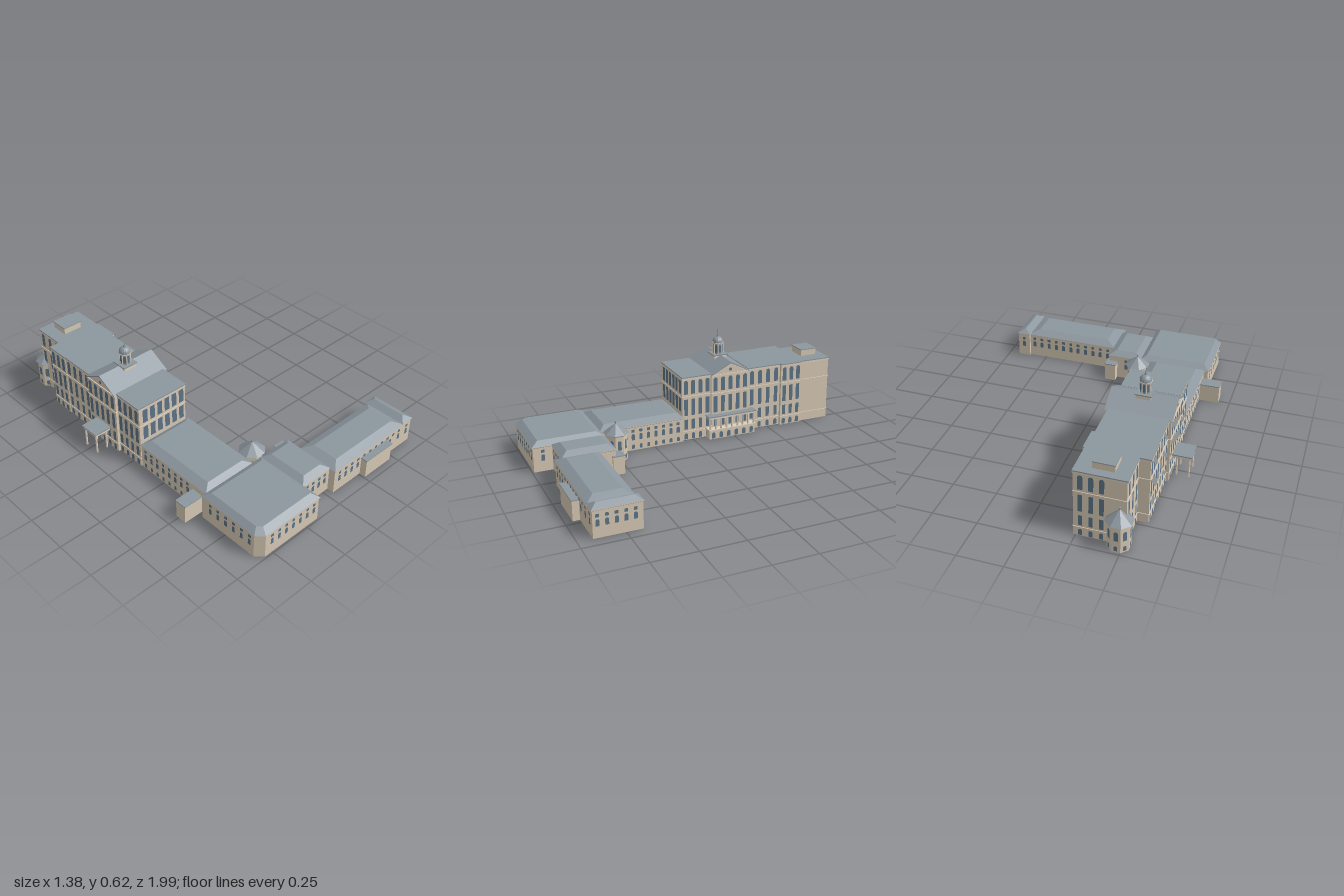
import * as THREE from 'three';
import { mergeGeometries } from 'three/addons/utils/BufferGeometryUtils.js';

const mat = (color, side = THREE.FrontSide) => new THREE.MeshStandardMaterial({ color, side, flatShading: true });

export function createModel() {
  const model = new THREE.Group();
  const stone = mat(0xd6c8b4, THREE.DoubleSide);
  const trim = mat(0xdccfbd);
  const slate = mat(0x8c969e, THREE.DoubleSide);
  const glass = mat(0x5b7388, THREE.DoubleSide);

  const add = (name, geo, material, parent = model) => {
    const mesh = new THREE.Mesh(geo, material);
    mesh.name = name;
    parent.add(mesh);
    return mesh;
  };
  const group = (name) => {
    const g = new THREE.Group();
    g.name = name;
    model.add(g);
    return g;
  };
  const slab = (name, material, x0, x1, y0, y1, z0, z1, parent) =>
    add(name, new THREE.BoxGeometry(x1 - x0, y1 - y0, z1 - z0)
      .translate((x0 + x1) / 2, (y0 + y1) / 2, (z0 + z1) / 2), material, parent);
  const spread = (a, b, n) => Array.from({ length: n }, (_, i) => (n > 1 ? a + (b - a) * i / (n - 1) : (a + b) / 2));

  // footprint ring, grown by d; cut chamfers the front left-hand corner
  const ring = ([x0, x1, z0, z1], y, d = 0, cut = 0, dz = d) => {
    const pts = [[x1 + d, y, z1 + dz], [x1 + d, y, z0 - dz], [x0 - d, y, z0 - dz]];
    return cut
      ? [...pts, [x0 - d, y, z1 + dz - cut], [x0 - d + cut, y, z1 + dz]]
      : [...pts, [x0 - d, y, z1 + dz]];
  };
  // faces between successive rings, with the last ring capped on request
  const loft = (rings, cap) => {
    const pos = [];
    const tri = (...p) => p.forEach((v) => pos.push(...v));
    for (let r = 0; r + 1 < rings.length; r++) {
      const lo = rings[r], hi = rings[r + 1];
      lo.forEach((a, i) => {
        const j = (i + 1) % lo.length;
        tri(a, lo[j], hi[j]);
        tri(a, hi[j], hi[i]);
      });
    }
    const top = rings[rings.length - 1];
    if (cap) for (let i = 1; i + 1 < top.length; i++) tri(top[0], top[i], top[i + 1]);
    const g = new THREE.BufferGeometry();
    g.setAttribute('position', new THREE.Float32BufferAttribute(pos, 3));
    g.computeVertexNormals();
    return g;
  };

  // one window pane, standing on y0 and facing +z
  const pane = (w, y0, y1, arched) => {
    const s = new THREE.Shape();
    const r = w / 2;
    s.moveTo(-r, y0).lineTo(r, y0);
    if (arched) s.lineTo(r, y1 - r).absarc(0, y1 - r, r, 0, Math.PI, false);
    else s.lineTo(r, y1).lineTo(-r, y1);
    return new THREE.ShapeGeometry(s, 5);
  };
  // rows are [width, bottom, top, arched]; side is '+x', '-x', '+z' or '-z'
  const windows = (parent, side, plane, centres, rows) => {
    const angle = { '+x': Math.PI / 2, '-x': -Math.PI / 2, '+z': 0, '-z': Math.PI }[side];
    const p = plane + (side[0] === '+' ? 0.002 : -0.002);
    const panes = centres.flatMap((c) => rows.map((r) => {
      const g = pane(...r).rotateY(angle);
      return side[1] === 'x' ? g.translate(p, 0, c) : g.translate(c, 0, p);
    }));
    add('windows', mergeGeometries(panes), glass, parent);
  };

  // low wings with hipped roofs
  const lowWing = (name, area, eave, ridge, insetX, insetZ, cut = 0) => {
    const g = group(name);
    add('walls', loft([ring(area, 0, 0, cut), ring(area, eave, 0, cut)]), stone, g);
    add('cornice', loft([ring(area, eave - 0.008, 0, cut), ring(area, eave - 0.004, 0.005, cut),
      ring(area, eave, 0.005, cut)]), stone, g);
    add('hippedRoof', loft([ring(area, eave, 0.005, cut),
      ring(area, ridge, -insetX, cut && cut * 0.6, -insetZ)], true), slate, g);
    return g;
  };
  const upper = [0.019, 0.112, 0.13];
  const arch = [0.02, 0.064, 0.102, true];
  const cellar = [0.018, 0.01, 0.037, true];
  const low = [upper, arch];

  const pavilion = lowWing('cornerPavilion', [-0.59, -0.165, 0.58, 0.99], 0.15, 0.175, 0.03, 0.035, 0.04);
  windows(pavilion, '+z', 0.99, spread(-0.505, -0.2, 7), low);
  windows(pavilion, '-x', -0.59, spread(0.64, 0.92, 6), low);
  windows(pavilion, '+x', -0.165, [0.935], low);

  const link = lowWing('linkBlock', [-0.165, 0.04, 0.58, 0.88], 0.15, 0.175, 0.04, 0.035);
  windows(link, '+z', 0.88, spread(-0.13, 0.005, 4), low);
  windows(link, '-z', 0.58, [-0.07], low);

  const wing = lowWing('eastWing', [0.04, 0.61, 0.675, 0.92], 0.15, 0.175, 0.055, 0.045);
  windows(wing, '+z', 0.92, spread(0.08, 0.58, 11), [upper]);
  windows(wing, '+z', 0.92, [...spread(0.08, 0.23, 4), ...spread(0.505, 0.58, 2)], [arch]);
  windows(wing, '-z', 0.675, spread(0.08, 0.58, 11), low);

  const end = lowWing('endBlock', [0.61, 0.685, 0.66, 0.92], 0.155, 0.177, 0.034, 0.03);
  windows(end, '+z', 0.92, [0.648], low);
  windows(end, '-z', 0.66, [0.648], low);
  windows(end, '+x', 0.685, spread(0.7, 0.895, 5), low);

  const middle = lowWing('middleWing', [-0.565, -0.23, 0.065, 0.58], 0.15, 0.175, 0.045, 0.035);
  windows(middle, '+x', -0.23, spread(0.1, 0.43, 8), [...low, cellar]);
  windows(middle, '-x', -0.565, spread(0.1, 0.44, 8), [...low, cellar]);

  // small flat-roofed additions
  const annex = (name, x0, x1, z0, z1, h) => {
    const g = group(name);
    slab('walls', stone, x0, x1, 0, h - 0.005, z0, z1, g);
    slab('flatRoof', slate, x0 - 0.003, x1 + 0.003, h - 0.005, h, z0 - 0.003, z1 + 0.003, g);
  };
  annex('frontAnnex', 0.26, 0.472, 0.9, 0.958, 0.115);
  annex('backAnnex', -0.013, 0.052, 0.533, 0.6, 0.112);
  annex('sideAnnex', -0.683, -0.55, 0.482, 0.55, 0.112);

  // tall main building, in five blocks
  const tallRows = [[0.022, 0.005, 0.043, true], [0.022, 0.068, 0.13], [0.024, 0.155, 0.258], [0.026, 0.29, 0.376, true]];
  const tallBlock = (name, area, bays, sides, flat = true) => {
    const [x0, x1, z0, z1] = area;
    const g = group(name);
    add('walls', loft([ring(area, 0), ring(area, 0.392)]), stone, g);
    for (const y of [0.052, 0.272]) {
      add('stringCourse', loft([ring(area, y), ring(area, y + 0.001, 0.003), ring(area, y + 0.004, 0.003),
        ring(area, y + 0.005)]), stone, g);
    }
    slab('cornice', trim, x0 - 0.005, x1 + 0.005, 0.383, 0.392, z0 - 0.002, z1 + 0.002, g);
    if (flat) slab('flatRoof', slate, x0 - 0.005, x1 + 0.005, 0.392, 0.398, z0 - 0.002, z1 + 0.002, g);
    const m = (z1 - z0) / bays / 2;
    for (const side of sides) {
      windows(g, side, side === '+x' ? x1 : x0, spread(z0 + m, z1 - m, bays), tallRows);
    }
    return g;
  };
  const both = ['+x', '-x'];
  const south = tallBlock('southBlock', [-0.57, -0.245, -0.12, 0.065], 4, both);
  windows(south, '+z', 0.065, spread(-0.53, -0.275, 6), [[0.033, 0.18, 0.264], [0.033, 0.292, 0.376]]);
  tallBlock('northBlock', [-0.57, -0.245, -0.585, -0.365], 4, both);
  tallBlock('crossBlock', [-0.573, -0.228, -0.725, -0.585], 3, both);
  const tail = tallBlock('endTower', [-0.512, -0.238, -0.922, -0.725], 3, ['-x']);
  windows(tail, '-z', -0.922, spread(-0.385, -0.275, 3), tallRows);
  slab('roofHousing', stone, -0.437, -0.322, 0.398, 0.435, -0.877, -0.773, tail);
  slab('housingRoof', slate, -0.44, -0.319, 0.435, 0.44, -0.88, -0.77, tail);

  // central block with its gable roof and pediments
  const centre = tallBlock('centralBlock', [-0.585, -0.228, -0.362, -0.118], 5, both, false);
  const gable = (halfW, y0, y1, x0, x1) => {
    const s = new THREE.Shape([[-halfW, y0], [halfW, y0], [0, y1]].map((p) => new THREE.Vector2(...p)));
    return new THREE.ExtrudeGeometry(s, { depth: x1 - x0, bevelEnabled: false })
      .rotateY(Math.PI / 2).translate(x0, 0, -0.24);
  };
  add('pediment', gable(0.12, 0.39, 0.452, -0.585, -0.228), stone, centre);
  const rafters = new THREE.Shape([[-0.127, 0.392], [-0.118, 0.392], [0, 0.453], [0.118, 0.392], [0.127, 0.392],
    [0, 0.461]].map((p) => new THREE.Vector2(...p)));
  add('gableRoof', new THREE.ExtrudeGeometry(rafters, { depth: 0.369, bevelEnabled: false })
    .rotateY(Math.PI / 2).translate(-0.591, 0, -0.24), slate, centre);
  for (const s of [-1, 1]) {
    add('roundWindow', new THREE.CircleGeometry(0.01, 16).rotateY(s * Math.PI / 2)
      .translate(s > 0 ? -0.226 : -0.587, 0.416, -0.24), glass, centre);
  }

  // domed cupola on the ridge
  const cupola = group('cupola');
  cupola.position.set(-0.408, 0, -0.24);
  const round = (name, material, rt, rb, y0, y1, n = 8, x = 0, z = 0, parent = cupola) =>
    add(name, new THREE.CylinderGeometry(rt, rb, y1 - y0, n).rotateY(Math.PI / n)
      .translate(x, (y0 + y1) / 2, z), material, parent);
  slab('plinth', trim, -0.041, 0.041, 0.42, 0.46, -0.041, 0.041, cupola);
  slab('plinthRoof', slate, -0.046, 0.046, 0.46, 0.466, -0.046, 0.046, cupola);
  round('drum', slate, 0.03, 0.03, 0.466, 0.53);
  for (let i = 0; i < 8; i++) {
    const a = i * Math.PI / 4;
    add('drumWindow', pane(0.015, 0.475, 0.52, true).translate(0, 0, 0.029).rotateY(a), glass, cupola);
    const b = a + Math.PI / 8;
    round('drumColumn', trim, 0.0035, 0.0035, 0.466, 0.528, 6, 0.031 * Math.sin(b), 0.031 * Math.cos(b));
  }
  round('drumCornice', trim, 0.037, 0.035, 0.527, 0.535, 16);
  const dome = new THREE.SphereGeometry(0.034, 16, 6, 0, Math.PI * 2, 0, Math.PI / 2).translate(0, 0.535, 0);
  add('dome', dome, slate, cupola);
  round('lantern', slate, 0.005, 0.008, 0.566, 0.58);
  round('spire', slate, 0.0006, 0.003, 0.58, 0.615);

  // columned portico on the east side
  const portico = group('eastPortico');
  slab('base', stone, -0.24, -0.19, 0, 0.052, -0.39, -0.088, portico);
  slab('deck', trim, -0.24, -0.186, 0.052, 0.06, -0.394, -0.084, portico);
  slab('entablature', trim, -0.24, -0.19, 0.126, 0.138, -0.392, -0.086, portico);
  slab('porticoRoof', slate, -0.24, -0.185, 0.138, 0.144, -0.397, -0.081, portico);
  windows(portico, '+x', -0.19, spread(-0.365, -0.113, 6), [tallRows[0]]);
  for (const z of spread(-0.383, -0.095, 9)) round('column', trim, 0.005, 0.006, 0.06, 0.126, 8, -0.197, z, portico);

  // canopy on posts on the west side
  const canopy = group('westCanopy');
  slab('canopyBeam', trim, -0.687, -0.58, 0.116, 0.131, -0.296, -0.184, canopy);
  slab('canopyRoof', slate, -0.692, -0.58, 0.131, 0.137, -0.301, -0.179, canopy);
  for (const z of [-0.287, -0.193]) {
    for (const x of [-0.678, -0.61]) round('post', trim, 0.006, 0.006, 0, 0.116, 8, x, z, canopy);
  }

  // octagonal turrets
  const turret = (name, x, z, tip) => {
    const g = group(name);
    g.position.set(x, 0, z);
    round('turretWalls', stone, 0.062, 0.062, 0, 0.16, 8, 0, 0, g);
    round('turretCornice', trim, 0.07, 0.064, 0.152, 0.162, 8, 0, 0, g);
    round('turretRoof', slate, 0.004, 0.075, 0.162, tip, 8, 0, 0, g);
    round('finialRod', slate, 0.002, 0.003, tip - 0.002, tip + 0.01, 6, 0, 0, g);
    add('finialBall', new THREE.SphereGeometry(0.006, 8, 6).translate(0, tip + 0.011, 0), slate, g);
    for (let i = 0; i < 8; i++) {
      for (const p of [pane(0.022, 0.072, 0.128, true), pane(0.018, 0.01, 0.04, true)]) {
        add('turretWindow', p.translate(0, 0, 0.0592).rotateY(i * Math.PI / 4), glass, g);
      }
    }
  };
  turret('courtTurret', -0.163, 0.508, 0.214);
  turret('northTurret', -0.478, -0.928, 0.222);

  return model;
}
